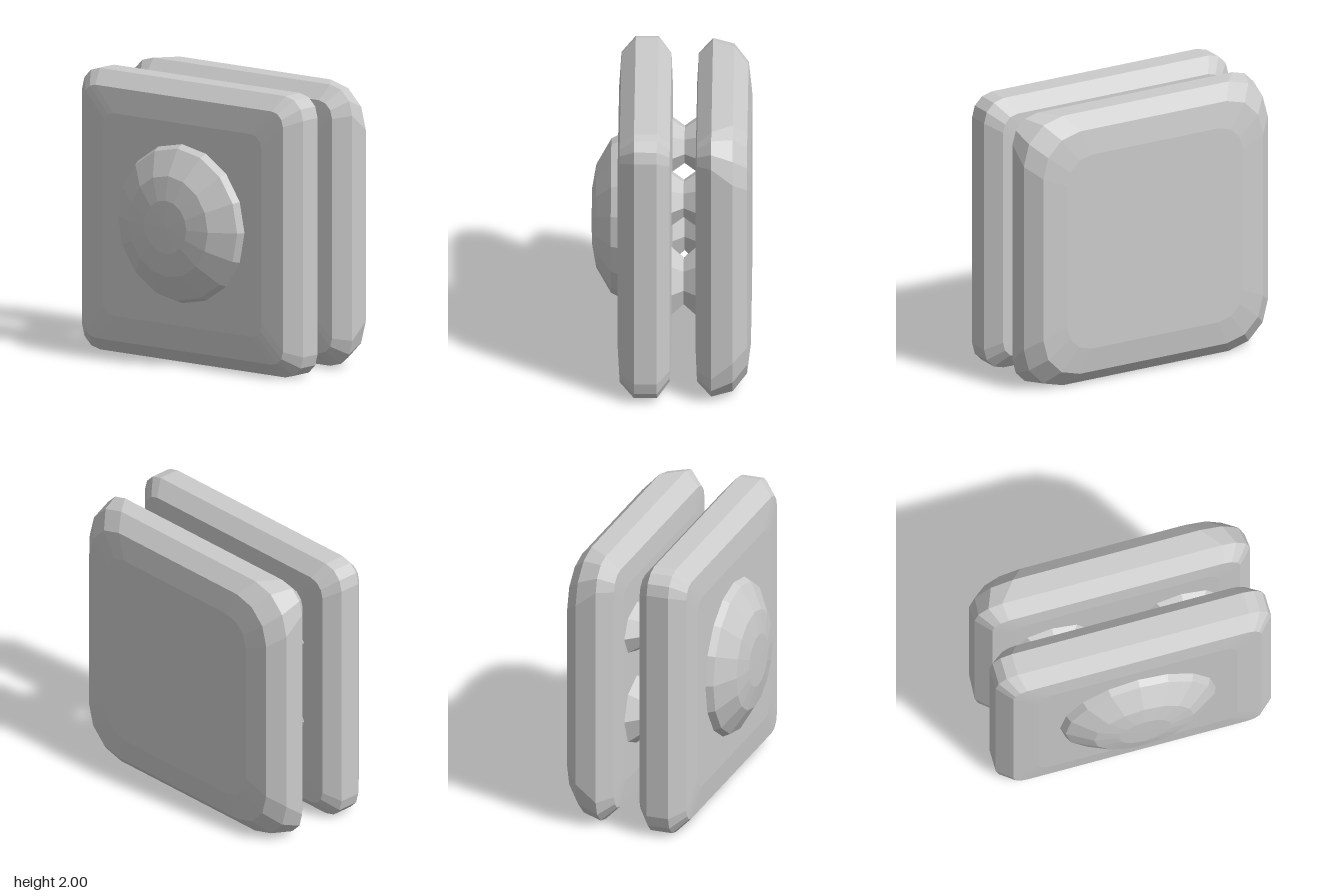
import * as THREE from 'three';

const material = new THREE.MeshStandardMaterial({ color: 0xcccccc, flatShading: true });

// Rounded rectangle outline in the xy plane, counter-clockwise
function outline(half, radius, steps = 3) {
  const pts = [];
  const c = half - radius;
  [[1, 1], [-1, 1], [-1, -1], [1, -1]].forEach(([sx, sy], q) => {
    for (let i = 0; i <= steps; i++) {
      const a = (q + i / steps) * Math.PI / 2;
      pts.push([sx * c + radius * Math.cos(a), sy * c + radius * Math.sin(a)]);
    }
  });
  return pts;
}

// Bevelled slab skinned over rings of [z, inset, corner radius], back to front
function slab(name, rings) {
  const pos = [], index = [];
  let n = 0;
  for (const [z, inset, radius] of rings) {
    const pts = outline(1 - inset, radius);
    n = pts.length;
    for (const [x, y] of pts) pos.push(x, y + 1, z);
  }
  const last = rings.length - 1;
  for (let r = 0; r < last; r++) {
    for (let i = 0; i < n; i++) {
      const a = r * n + i, b = r * n + (i + 1) % n;
      index.push(a, b, b + n, a, b + n, a + n);
    }
  }
  // flat caps
  for (let i = 1; i < n - 1; i++) {
    index.push(0, i + 1, i);
    index.push(last * n, last * n + i, last * n + i + 1);
  }
  const geo = new THREE.BufferGeometry();
  geo.setAttribute('position', new THREE.Float32BufferAttribute(pos, 3));
  geo.setIndex(index);
  geo.computeVertexNormals();
  const mesh = new THREE.Mesh(geo, material);
  mesh.name = name;
  return mesh;
}

// Lathe turned so that its axis points along +z
function turned(name, profile, sides, x, y, z) {
  const geo = new THREE.LatheGeometry(profile.map(([r, h]) => new THREE.Vector2(r, h)), sides);
  geo.rotateX(Math.PI / 2);
  const mesh = new THREE.Mesh(geo, material);
  mesh.position.set(x, y, z);
  mesh.name = name;
  return mesh;
}

export function createModel() {
  const model = new THREE.Group();

  model.add(slab('frontPlate', [
    [0, 0.26, 0.1], [0.01, 0.1, 0.12], [0.1, 0, 0.16],
    [0.26, 0, 0.16], [0.36, 0.1, 0.1], [0.375, 0.28, 0.1],
  ]));

  // the back plate has rounder corners toward the rear
  model.add(slab('backPlate', [
    [-0.555, 0.28, 0.2], [-0.53, 0.1, 0.3], [-0.43, 0, 0.32],
    [-0.28, 0, 0.2], [-0.18, 0.1, 0.12], [-0.17, 0.26, 0.1],
  ]));

  // shallow faceted dome on the front
  model.add(turned('dome', [
    [0.57, -0.01], [0.54, 0.05], [0.36, 0.155], [0.19, 0.185], [0, 0.187],
  ], 16, 0, 1.01, 0.375));

  // four waisted spacers joining the plates
  for (const side of [-1, 1]) {
    for (const [name, y, scale] of [['upperSpacer', 1.35, 0.72], ['lowerSpacer', 0.72, 1]]) {
      const spacer = turned(name, [[0.26, -0.09], [0.175, 0], [0.26, 0.09]], 8, side * 0.47, y, -0.085);
      spacer.scale.y = scale;
      model.add(spacer);
    }
  }

  return model;
}
